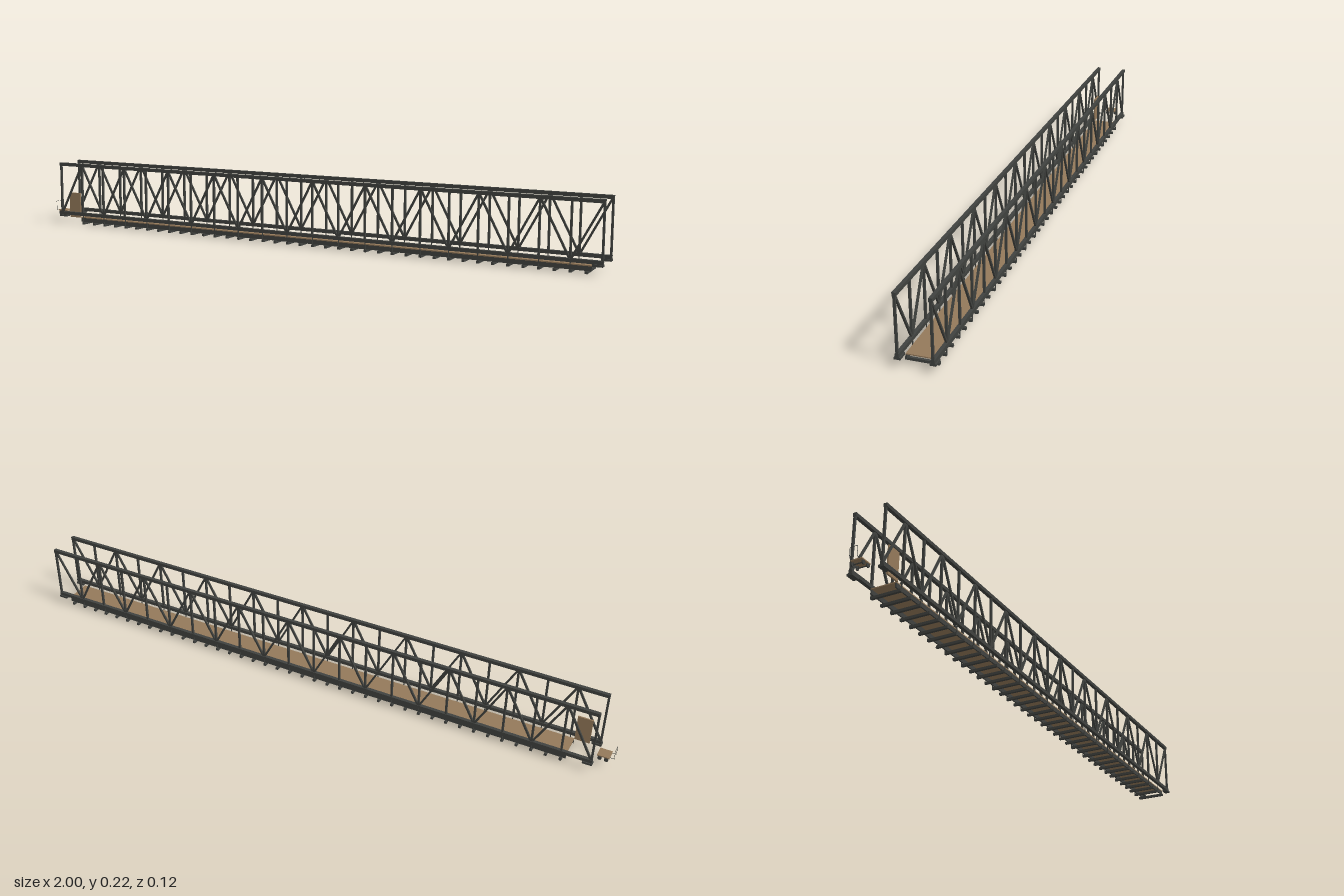
import * as THREE from 'three';

const steel = new THREE.MeshStandardMaterial({ color: 0x40423f });
const wood = new THREE.MeshStandardMaterial({ color: 0x94795a });

function box(parent, name, x0, x1, y0, y1, z0, z1, mat = steel) {
  const m = new THREE.Mesh(new THREE.BoxGeometry(x1 - x0, y1 - y0, z1 - z0), mat);
  m.position.set((x0 + x1) / 2, (y0 + y1) / 2, (z0 + z1) / 2);
  m.name = name;
  parent.add(m);
  return m;
}

// Square bar between two points of the same z
function bar(parent, name, xa, ya, xb, yb, z, width, depth) {
  const len = Math.hypot(xb - xa, yb - ya);
  const m = new THREE.Mesh(new THREE.BoxGeometry(len, width, depth), steel);
  m.position.set((xa + xb) / 2, (ya + yb) / 2, z);
  m.rotation.z = Math.atan2(yb - ya, xb - xa);
  m.name = name;
  parent.add(m);
}

const START = -0.942, END = 0.997, PANELS = 21;
const STEP = (END - START) / PANELS;
const LOW = 0.037, HIGH = 0.212, TRUSS_Z = 0.049;

function truss(z, name) {
  const g = new THREE.Group();
  g.name = name;
  const h = 0.0055;
  box(g, 'topChord', START - 0.003, END + 0.003, HIGH - h, HIGH + h, z - h, z + h);
  box(g, 'bottomChord', START - 0.003, END + 0.003, LOW - h, LOW + h, z - h, z + h);
  for (let i = 0; i <= PANELS; i++) {
    const x = START + i * STEP;
    bar(g, 'post', x, LOW, x, HIGH, z, 0.006, 0.007);
    if (i < PANELS) {
      const up = i % 2 === 0;
      bar(g, 'diagonal', x, up ? LOW : HIGH, x + STEP, up ? HIGH : LOW, z, 0.006, 0.006);
    }
    // Rods that hang the deck from the truss
    if (i > 0 && i < PANELS) bar(g, 'hanger', x, 0.002, x, LOW, z * 0.97, 0.0025, 0.0025);
  }
  // Bearing plates under both ends
  box(g, 'bearingPlate', START - 0.005, START + 0.025, 0.025, 0.0315, z - 0.009, z + 0.009);
  box(g, 'bearingPlate', END - 0.027, END + 0.003, 0.025, 0.0315, z - 0.009, z + 0.009);
  return g;
}

function deck() {
  const g = new THREE.Group();
  g.name = 'deck';
  const x0 = -0.864, x1 = 0.965;
  box(g, 'walkway', x0, x1, 0.022, 0.0255, -0.041, 0.041, wood);
  for (const s of [-1, 1]) {
    box(g, 'stringer', x0, x1, 0.008, 0.022, s * 0.039 - 0.002, s * 0.039 + 0.002);
  }
  for (let i = 0; i < 40; i++) {
    const x = START + STEP + i * STEP / 2;
    box(g, 'crossBeam', x - 0.004, x + 0.004, 0, 0.008, -0.048, 0.048);
  }
  return g;
}

function cart() {
  const g = new THREE.Group();
  g.name = 'cart';
  box(g, 'cartPlatform', -0.987, -0.949, 0.037, 0.0405, -0.018, 0.018, wood);
  for (const x of [-0.978, -0.958]) {
    box(g, 'axle', x - 0.0012, x + 0.0012, 0.029, 0.0315, -0.016, 0.016);
    for (const s of [-1, 1]) {
      const w = new THREE.Mesh(new THREE.CylinderGeometry(0.0065, 0.0065, 0.003, 14), steel);
      w.rotation.x = Math.PI / 2;
      w.position.set(x, 0.0305, s * 0.0165);
      w.name = 'wheel';
      g.add(w);
      // Short strut from axle to platform
      box(g, 'axleStrut', x - 0.001, x + 0.001, 0.03, 0.037, s * 0.013 - 0.001, s * 0.013 + 0.001);
    }
  }
  // Thin bent handle
  const t = 0.0005;
  for (const s of [-1, 1]) {
    const z = s * 0.012;
    box(g, 'handleArm', -1, -0.986, 0.0385, 0.0395, z - t, z + t);
    box(g, 'handleUpright', -1, -0.999, 0.0385, 0.07, z - t, z + t);
  }
  box(g, 'handleGrip', -1, -0.999, 0.069, 0.07, -0.0125, 0.0125);
  return g;
}

export function createModel() {
  const model = new THREE.Group();
  model.name = 'trussFootbridge';
  model.add(truss(TRUSS_Z, 'frontTruss'), truss(-TRUSS_Z, 'backTruss'), deck(), cart());
  // Upright board fixed inside the front truss
  box(model, 'signBoard', -0.911, -0.864, 0.023, 0.111, 0.0405, 0.0455, wood);
  return model;
}
